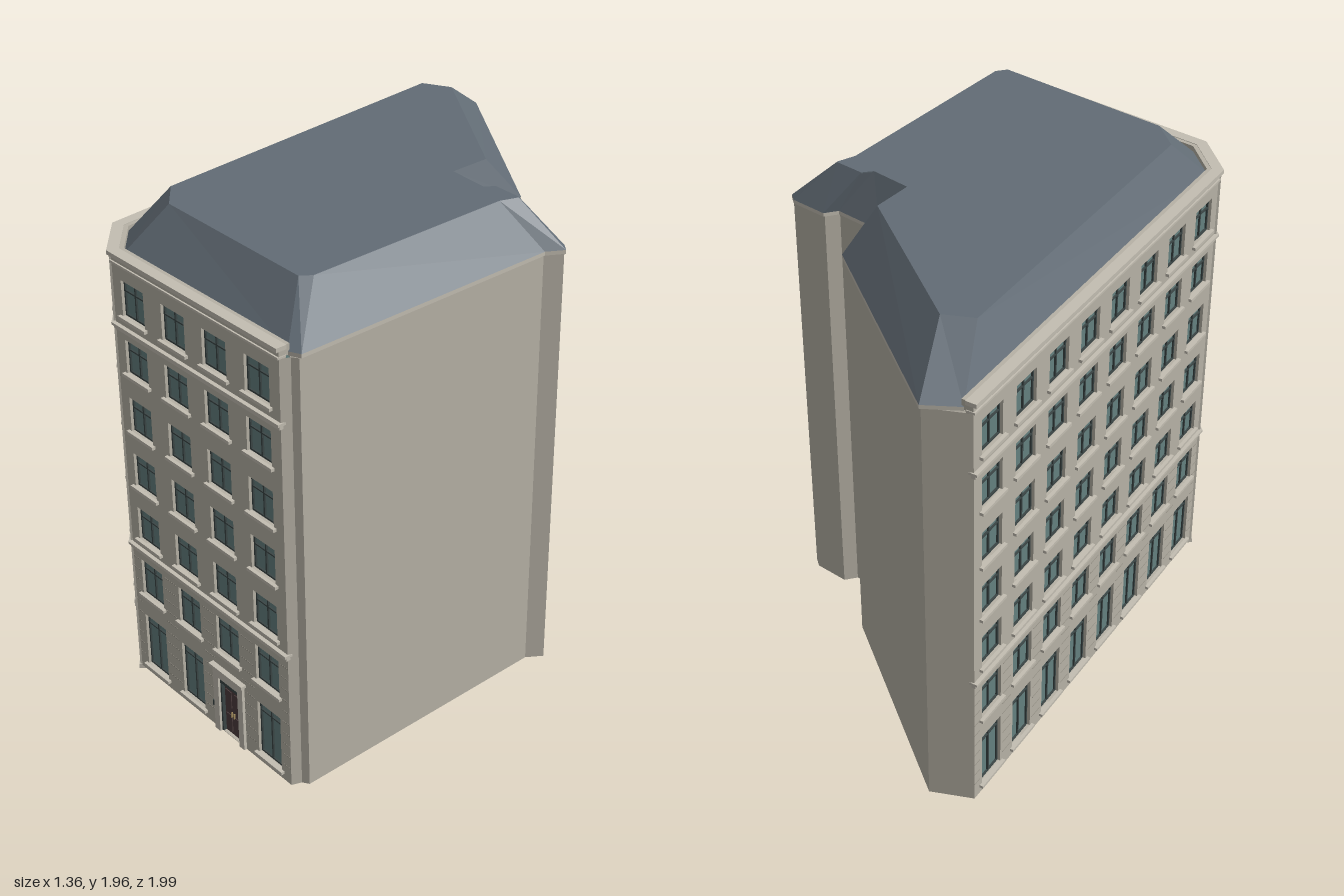
import * as THREE from 'three';
import { mergeGeometries } from 'three/addons/utils/BufferGeometryUtils.js';

const mat = (color) => new THREE.MeshStandardMaterial({ color, flatShading: true, side: THREE.DoubleSide });
const MATS = {
  stone: mat(0xb7b2a6), trim: mat(0xc3beb2), groove: mat(0x99958a), glass: mat(0x64807f),
  frame: mat(0x3b4646), door: mat(0x4c3d3e), roof: mat(0x626c75), brass: mat(0xa08a5c),
};

// Window rows: [bottom, top] for each storey
const FLOORS = [[0.055, 0.29], [0.39, 0.545], [0.64, 0.78], [0.875, 1.015], [1.11, 1.25], [1.35, 1.485], [1.58, 1.72]];
const BASE = 0.017, WALL_TOP = 1.775, EAVE = 1.79, ROOF_TOP = 1.955, DEPTH = 0.028;

// Street-side corners in plan (x, z), from the back left round to the front right
const STREET = [[-0.665, -0.915], [-0.505, 0.81], [-0.345, 0.95], [0.585, 0.972]];
// Plain walls, from the front right round to the back left
const PLAIN = [[0.585, 0.972], [0.6, 0.935], [0.625, 0.92], [0.635, -0.19], [0.677, -0.25], [0.645, -0.275],
  [0.5, -0.28], [0.465, -0.235], [0.257, -0.245], [0.257, -0.455], [-0.51, -0.988], [-0.665, -0.915]];
// Roof outline at the eaves and, point for point, at the flat top
const EAVES = [[-0.63, -0.92], [-0.51, -0.997], [0.262, -0.462], [0.265, -0.253], [0.465, -0.24], [0.5, -0.287],
  [0.65, -0.28], [0.68, -0.255], [0.64, -0.19], [0.63, 0.915], [0.585, 0.935], [-0.335, 0.91], [-0.465, 0.8]];
const CROWN = [[-0.51, -0.69], [-0.4, -0.745], [0.195, -0.34], [0.195, -0.175], [0.36, -0.16], [0.39, -0.195],
  [0.505, -0.19], [0.51, -0.185], [0.485, -0.115], [0.485, 0.735], [0.455, 0.775], [-0.27, 0.745], [-0.385, 0.65]];

function named(name, geometry, material) {
  const mesh = new THREE.Mesh(geometry, material);
  mesh.name = name;
  return mesh;
}

// Band of quads between two plan outlines at two heights
function loft(low, y0, high, y1, closed) {
  const pos = [], n = low.length;
  for (let i = 0; i < (closed ? n : n - 1); i++) {
    const j = (i + 1) % n;
    const a = [low[i][0], y0, low[i][1]], b = [low[j][0], y0, low[j][1]];
    const c = [high[j][0], y1, high[j][1]], d = [high[i][0], y1, high[i][1]];
    pos.push(...a, ...c, ...b, ...a, ...d, ...c);
  }
  const g = new THREE.BufferGeometry();
  g.setAttribute('position', new THREE.Float32BufferAttribute(pos, 3));
  g.computeVertexNormals();
  return g;
}

// Horizontal slab with the given plan outline
function slab(outline, y, height) {
  const shape = new THREE.Shape(outline.map(([x, z]) => new THREE.Vector2(x, -z)));
  return new THREE.ExtrudeGeometry(shape, { depth: height, bevelEnabled: false })
    .rotateX(-Math.PI / 2).translate(0, y, 0);
}

// One street front, built flat: x along the wall, y up, z outward
function facade(name, p, q, { centres, width, doorAt = -1, shopDoor = false }) {
  const group = new THREE.Group();
  group.name = name;
  const dx = q[0] - p[0], dz = q[1] - p[1], length = Math.hypot(dx, dz);
  group.position.set(p[0], 0, p[1]);
  group.rotation.y = Math.atan2(-dz, dx);

  const parts = {};
  const box = (part, material, x, y, z, w, h, d) => {
    parts[part] ??= { material, list: [] };
    parts[part].list.push(new THREE.BoxGeometry(w, h, d).translate(x, y, z));
  };

  const wall = new THREE.Shape([[0, BASE], [length, BASE], [length, 1.8], [0, 1.8]].map((v) => new THREE.Vector2(...v)));
  const hole = (x0, x1, y0, y1) => wall.holes.push(new THREE.Path(
    [[x0, y0], [x0, y1], [x1, y1], [x1, y0]].map((v) => new THREE.Vector2(...v))));

  FLOORS.forEach(([floorY0, floorY1], f) => centres.forEach((x, c) => {
    let y0 = floorY0, y1 = floorY1;
    if (f === 0 && c === doorAt) return;
    if (f === 0 && shopDoor) { y0 = 0.022; y1 = 0.27; }
    const h = y1 - y0, ym = (y0 + y1) / 2, t = 0.007, z = -0.016;
    hole(x - width / 2, x + width / 2, y0, y1);
    // Glazing with frame, mullion and transom
    box('windowGlass', 'glass', x, ym, -0.022, width, h, 0.006);
    for (const s of [-1, 1]) {
      box('windowFrames', 'frame', x + s * (width - t) / 2, ym, z, t, h, 0.008);
      box('windowFrames', 'frame', x, ym + s * (h - t) / 2, z, width, t, 0.008);
    }
    box('windowFrames', 'frame', x, ym, z, t, h, 0.008);
    box('windowFrames', 'frame', x, y1 - 0.042, z, width, t * 0.8, 0.008);
    if (!(f === 0 && shopDoor)) box('windowSills', 'trim', x, y0 - 0.006, 0.003, width + 0.028, 0.012, 0.022);
  }));

  // Entrance: surround, cap, recessed leaf and panels
  if (doorAt >= 0) {
    const x = centres[doorAt];
    hole(x - 0.058, x + 0.058, 0.019, 0.27);
    box('entranceDoor', 'door', x, 0.145, -0.018, 0.116, 0.25, 0.012);
    for (const s of [-1, 1]) {
      box('entranceSurround', 'trim', x + s * 0.073, 0.165, 0.005, 0.03, 0.295, 0.014);
      box('doorFrame', 'frame', x + s * 0.054, 0.145, -0.006, 0.008, 0.25, 0.016);
      box('doorHandles', 'brass', x + s * 0.007, 0.115, -0.008, 0.004, 0.022, 0.008);
      for (const y of [0.07, 0.18]) box('doorPanels', 'door', x + s * 0.026, y, -0.011, 0.034, 0.075, 0.005);
    }
    box('doorFrame', 'frame', x, 0.256, -0.006, 0.116, 0.026, 0.016);
    box('entranceSurround', 'trim', x, 0.291, 0.005, 0.176, 0.042, 0.014);
    box('entranceCap', 'trim', x, 0.315, 0.009, 0.196, 0.011, 0.026);
    box('doorbell', 'frame', x - 0.094, 0.13, 0.004, 0.012, 0.024, 0.012);
  }
  // Corner door: fascia board and step
  if (shopDoor) {
    box('doorFascia', 'trim', length / 2, 0.302, 0.004, 0.175, 0.032, 0.02);
    box('doorStep', 'trim', length / 2, 0.01, -0.01, length, 0.02, 0.045);
  }

  // Joints in the stonework between the lower windows
  const edges = [0, ...centres.flatMap((x) => [x - width / 2 - 0.014, x + width / 2 + 0.014]), length];
  for (let y = 0.09; y < 0.57; y += 0.05) {
    for (let i = 0; i < edges.length; i += 2) {
      const w = edges[i + 1] - edges[i];
      if (w > 0.01) box('stoneJoints', 'groove', (edges[i] + edges[i + 1]) / 2, y, 0, w, 0.003, 0.002);
    }
  }

  // String courses, cornice and parapet
  const band = (part, y, h, out) => box(part, 'trim', length / 2, y, (out - DEPTH) / 2, length + out * 0.8, h, DEPTH + out);
  for (const y of [0.6, 1.535]) {
    band('stringCourses', y, 0.01, 0.016);
    band('stringCourses', y - 0.012, 0.014, 0.008);
  }
  band('cornice', 1.778, 0.008, 0.007);
  band('cornice', 1.812, 0.016, 0.015);
  box('parapet', 'stone', length / 2, 1.798, -0.022, length, 0.04, 0.045);

  const body = new THREE.ExtrudeGeometry(wall, { depth: DEPTH, bevelEnabled: false }).translate(0, 0, -DEPTH);
  group.add(named('wall', body, MATS.stone));
  for (const [part, { material, list }] of Object.entries(parts)) {
    group.add(named(part, mergeGeometries(list), MATS[material]));
  }
  return group;
}

export function createModel() {
  const model = new THREE.Group();
  model.name = 'cornerBuilding';

  // Three street fronts
  const [a, b, c, d] = STREET;
  model.add(
    facade('sideFacade', a, b, { centres: Array.from({ length: 8 }, (_, i) => 0.115 + i * 0.215), width: 0.13 }),
    facade('cornerFacade', b, c, { centres: [0.106], width: 0.13, shopDoor: true }),
    facade('frontFacade', c, d, { centres: [0.115, 0.35, 0.58, 0.81], width: 0.132, doorAt: 2 }),
  );

  // Pilaster strips at both edges of the corner
  for (const [x, z, turn] of [[-0.357, 0.94, -0.72], [-0.497, 0.817, -0.72]]) {
    const strip = named('cornerPilaster', new THREE.BoxGeometry(0.024, 1.79, 0.016), MATS.stone);
    strip.position.set(x, BASE + 0.895, z);
    strip.rotation.y = turn;
    model.add(strip);
  }

  // Plain rear and side walls
  model.add(named('plainWalls', loft(PLAIN, BASE, PLAIN, WALL_TOP, false), MATS.stone));

  // Eaves slab and mansard roof with flat top
  model.add(named('eaves', slab(EAVES, WALL_TOP, EAVE - WALL_TOP), MATS.trim));
  model.add(named('roofSlopes', loft(EAVES, EAVE, CROWN, ROOF_TOP, true), MATS.roof));
  model.add(named('roofTop', slab(CROWN, ROOF_TOP - 0.004, 0.004), MATS.roof));
  return model;
}
